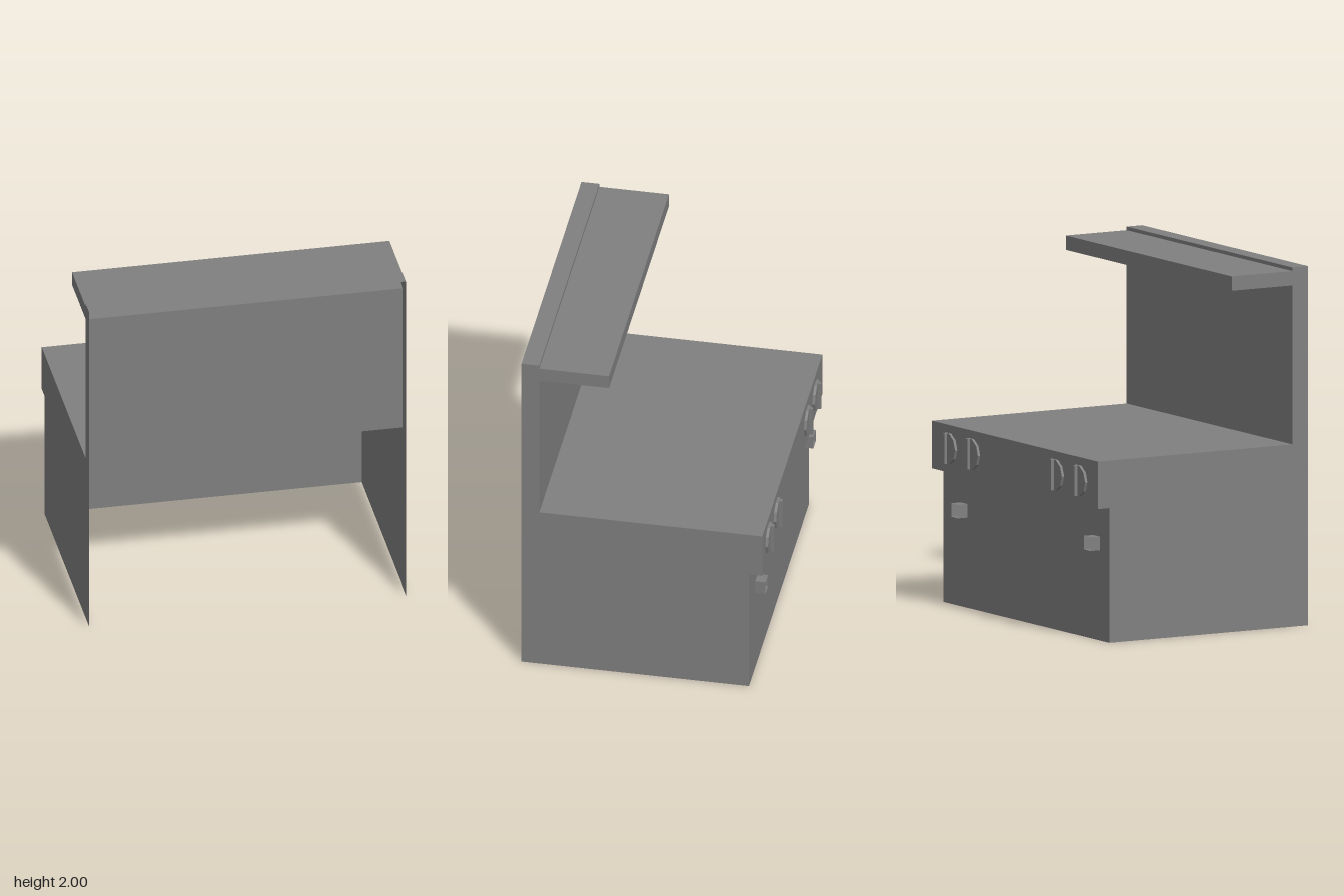
import * as THREE from 'three';

const W = 0.89; // half width of the body

// Side outline as [z, y], from the top of the back down to the front foot
const outline = [
  [0.69, 2], [0.59, 2], [0.59, 1.98], [0.2, 1.98], [0.2, 1.9], [0.59, 1.9],
  [0.59, 1.015], [-0.66, 1.015], [-0.66, 0.75], [-0.585, 0.75], [-0.585, 0],
];

// Thin sheet spanning the full width along part of the outline
function sheet(points) {
  const pos = [];
  for (let i = 0; i < points.length - 1; i++) {
    const [z0, y0] = points[i], [z1, y1] = points[i + 1];
    pos.push(-W, y0, z0, W, y0, z0, W, y1, z1);
    pos.push(-W, y0, z0, W, y1, z1, -W, y1, z1);
  }
  const geo = new THREE.BufferGeometry();
  geo.setAttribute('position', new THREE.Float32BufferAttribute(pos, 3));
  geo.computeVertexNormals();
  return geo;
}

export function createModel() {
  const group = new THREE.Group();
  const grey = new THREE.MeshStandardMaterial({ color: 0x808080, side: THREE.DoubleSide });
  grey.name = 'grey';

  function add(name, geo, parent = group) {
    const mesh = new THREE.Mesh(geo, grey);
    mesh.name = name;
    parent.add(mesh);
    return mesh;
  }

  // Open-backed, open-bottomed shell
  const parts = { topRim: [0, 2], shelf: [2, 5], splashback: [5, 6], cooktop: [6, 7], controlPanel: [7, 9], frontPanel: [9, 10] };
  for (const [name, [from, to]] of Object.entries(parts)) {
    add(name, sheet(outline.slice(from, to + 1)));
  }

  // Side panels, including the shelf ends
  for (const s of [1, -1]) {
    const pts = [...outline, [0.69, 0]].map(([z, y]) => new THREE.Vector2(-s * z, y));
    const geo = new THREE.ShapeGeometry(new THREE.Shape(pts));
    geo.rotateY(s * Math.PI / 2).translate(s * W, 0, 0);
    add(s > 0 ? 'leftSide' : 'rightSide', geo);
  }

  // Control knobs: a faceted disc with a grip ridge
  for (const x of [-0.685, -0.435, 0.465, 0.71]) {
    const knob = new THREE.Group();
    knob.name = 'knob';
    knob.position.set(x, 0.885, -0.66);
    let disc = new THREE.CylinderGeometry(0.094, 0.094, 0.015, 10, 1, false, Math.PI / 2);
    disc = disc.rotateX(-Math.PI / 2).scale(1, 0.95, 1).toNonIndexed();
    disc.computeVertexNormals();
    add('knobDisc', disc, knob).position.z = -0.0075;
    add('knobGrip', new THREE.BoxGeometry(0.02, 0.17, 0.033), knob).position.z = -0.0165;
    group.add(knob);
  }

  // Hollow square handle mounts on the front panel
  for (const x of [0.67, -0.75]) {
    const r = Math.SQRT1_2;
    let geo = new THREE.CylinderGeometry(r, r, 1, 4, 1, true, Math.PI / 4);
    geo = geo.rotateX(-Math.PI / 2).scale(0.072, 0.076, 0.058).toNonIndexed();
    geo.computeVertexNormals();
    add('handleMount', geo).position.set(x, 0.54, -0.614);
  }

  return group;
}
